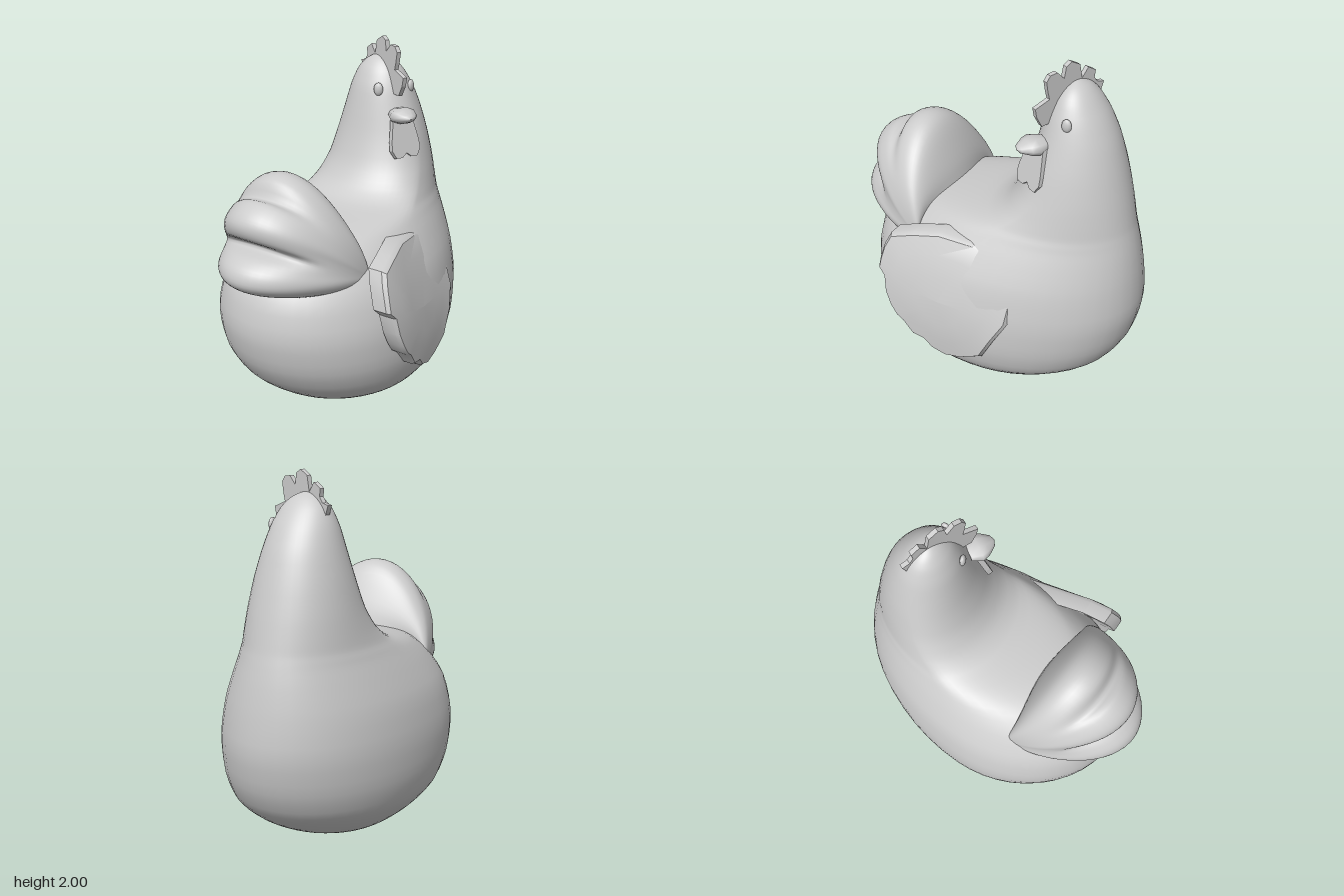
import * as THREE from 'three';
import { toCreasedNormals } from 'three/addons/utils/BufferGeometryUtils.js';

const material = new THREE.MeshStandardMaterial({ color: 0xcccccc });
const V = (x, y, z) => new THREE.Vector3(x, y, z);

function add(parent, name, geometry) {
  const mesh = new THREE.Mesh(geometry, material);
  mesh.name = name;
  parent.add(mesh);
  return mesh;
}

// Skin over closed rings of points, splined from ring to ring
function loft(rings, steps = 1) {
  const n = rings[0].length;
  const rows = (rings.length - 1) * steps;
  const position = [], index = [];
  const columns = rings[0].map((_, j) => new THREE.CatmullRomCurve3(rings.map(r => r[j]), false, 'catmullrom', 0.4));
  for (let i = 0; i <= rows; i++) {
    for (let j = 0; j < n; j++) {
      const p = steps === 1 ? rings[i][j] : columns[j].getPoint(i / rows);
      position.push(p.x, p.y, p.z);
      if (i === rows) continue;
      const a = i * n + j, b = i * n + (j + 1) % n;
      index.push(a, a + n, b, b, a + n, b + n);
    }
  }
  const g = new THREE.BufferGeometry();
  g.setAttribute('position', new THREE.Float32BufferAttribute(position, 3));
  g.setIndex(index);
  g.computeVertexNormals();
  return g;
}

// Flat plate from an outline, centred on its thickness
function plate(points, thickness) {
  const shape = new THREE.Shape(points.map(([x, y]) => new THREE.Vector2(x, y)));
  return new THREE.ExtrudeGeometry(shape, { depth: thickness, bevelEnabled: false })
    .translate(0, 0, -thickness / 2);
}

// Body and neck: height, rear z, widest z, breast z, half width
function bodyGeometry() {
  const rows = [
    [0, -0.2, -0.2, -0.2, 0.001], [0.005, 0.02, -0.15, -0.33, 0.17], [0.04, 0.25, -0.1, -0.43, 0.31],
    [0.08, 0.4, -0.05, -0.52, 0.39], [0.15, 0.52, 0, -0.64, 0.475], [0.25, 0.64, 0.03, -0.76, 0.55],
    [0.4, 0.735, 0.06, -0.84, 0.59], [0.6, 0.78, 0.07, -0.88, 0.593], [0.8, 0.74, 0.03, -0.865, 0.55],
    [0.95, 0.62, -0.06, -0.84, 0.475], [1.04, 0.45, -0.14, -0.82, 0.42], [1.08, 0.25, -0.19, -0.81, 0.395],
    [1.12, 0.01, -0.24, -0.8, 0.37], [1.19, -0.1, -0.32, -0.785, 0.34], [1.3, -0.17, -0.39, -0.76, 0.305],
    [1.45, -0.22, -0.425, -0.72, 0.265], [1.6, -0.255, -0.44, -0.67, 0.22], [1.72, -0.285, -0.44, -0.61, 0.18],
    [1.81, -0.325, -0.435, -0.545, 0.135], [1.86, -0.365, -0.43, -0.495, 0.085],
    [1.885, -0.4, -0.425, -0.45, 0.035], [1.89, -0.425, -0.425, -0.425, 0.001],
  ];
  const rings = rows.map(([y, rear, middle, breast, w]) => {
    const ring = [];
    for (let j = 0; j < 48; j++) {
      const a = j / 48 * Math.PI * 2, s = Math.sin(a);
      const reach = s > 0 ? rear - middle : middle - breast;
      ring.push(V(-0.028 - 0.018 * y + w * Math.cos(a), y, middle + reach * s));
    }
    return ring;
  });
  return loft(rings, 3);
}

// Tail: three-lobed side outline, shrinking and losing its grooves toward both sides
function tailGeometry() {
  const outline = [
    [0.27, 1.08], [0.33, 1.25], [0.41, 1.39], [0.5, 1.43], [0.59, 1.4], [0.635, 1.32],
    [0.7, 1.325], [0.775, 1.28], [0.81, 1.22], [0.79, 1.15], [0.705, 1.085], [0.8, 1.05],
    [0.865, 1.0], [0.88, 0.93], [0.83, 0.875], [0.73, 0.83], [0.5, 0.72], [0.25, 0.85],
  ].map(([z, y]) => V(0, y, z));
  const lobed = new THREE.CatmullRomCurve3(outline, true, 'catmullrom', 0.5).getPoints(72).slice(0, -1);
  const smooth = lobed.map((_, i) => {
    const mean = V(0, 0, 0);
    for (let k = -7; k <= 7; k++) mean.add(lobed[(i + k + 72) % 72]);
    return mean.divideScalar(15);
  });
  const rings = [];
  for (let i = 0; i <= 32; i++) {
    const a = i / 32 * Math.PI, s = Math.max(Math.sin(a), 0.001);
    const x = 0.41 * Math.cos(a), fade = Math.min(1, (x / 0.33) ** 2);
    rings.push(lobed.map((p, j) => {
      const q = p.clone().lerp(smooth[j], fade);
      return V(-0.035 + x, 0.88 + (q.y - 0.88) * s, 0.3 + (q.z - 0.3) * s);
    }));
  }
  return loft(rings);
}

// Wing: scalloped plate that leaves the flank toward the rear
function wingGeometry() {
  const outline = [
    [0.41, 0.9], [0.38, 0.97], [0.25, 1.01], [0.1, 1.03], [-0.1, 1.01], [-0.22, 0.97],
    [-0.3, 0.87], [-0.37, 0.77], [-0.36, 0.63], [-0.29, 0.5], [-0.22, 0.36], [-0.1, 0.3],
    [0, 0.28], [0.08, 0.31], [0.13, 0.365], [0.2, 0.38], [0.26, 0.46], [0.3, 0.49],
    [0.34, 0.55], [0.375, 0.63], [0.39, 0.73], [0.43, 0.77], [0.425, 0.82],
  ];
  const outer = (z, y) => 0.625 - 0.45 * Math.max(y - 0.5, 0) ** 2 - 0.5 * Math.max(0.42 - y, 0) ** 2
    - Math.max(0.3 - z, 0) * (0.14 + 0.25 * Math.max(y - 0.5, 0));
  const ring = (scale, inset) => outline.map(([z, y]) => {
    const pz = 0.05 + (z - 0.05) * scale, py = 0.66 + (y - 0.66) * scale;
    return V(outer(pz, py) - inset, py, pz);
  });
  return toCreasedNormals(loft([
    ring(0.001, 0.1), ring(0.5, 0.1), ring(1, 0.1), ring(1, 0.02), ring(0.96, 0),
    ring(0.7, 0), ring(0.4, 0), ring(0.001, 0),
  ]), 0.6);
}

export function createModel() {
  const hen = new THREE.Group();
  hen.name = 'hen';
  add(hen, 'body', bodyGeometry());
  add(hen, 'tail', tailGeometry());
  add(hen, 'wing', wingGeometry());

  // Head parts, turned to the hen's side
  const face = new THREE.Group();
  face.name = 'face';
  face.position.set(-0.02, 0, -0.4);
  face.rotation.y = -0.4;
  hen.add(face);

  add(face, 'comb', plate([
    [-0.2, 1.77], [-0.22, 1.83], [-0.18, 1.84], [-0.16, 1.87], [-0.165, 1.91], [-0.12, 1.94],
    [-0.085, 1.89], [-0.07, 1.97], [-0.02, 2.0], [0.01, 1.98], [0.02, 1.92], [0.06, 1.965],
    [0.1, 1.96], [0.12, 1.93], [0.11, 1.87], [0.1, 1.83], [0.18, 1.8], [0.17, 1.75],
    [0.14, 1.69], [0, 1.7],
  ].map(([x, y]) => [(x + 0.02) / 0.92, y]), 0.026));

  // Blunt beak
  const beakProfile = [[0.06, 0], [0.085, 0.06], [0.07, 0.1], [0.035, 0.145], [0, 0.16]]
    .map(([r, y]) => new THREE.Vector2(r, y));
  const beak = add(face, 'beak', new THREE.LatheGeometry(beakProfile, 10)
    .rotateZ(-Math.PI / 2).scale(1, 0.55, 1));
  beak.position.set(0.15, 1.587, 0);
  beak.rotation.y = -0.1;

  // Two-lobed wattle, leaning outward at the bottom
  const wattle = add(face, 'wattle', plate([
    [-0.06, 0.03], [-0.09, -0.12], [-0.095, -0.17], [-0.07, -0.215], [-0.03, -0.215], [0, -0.19],
    [0.03, -0.215], [0.07, -0.215], [0.095, -0.17], [0.09, -0.12], [0.06, 0.03],
  ], 0.03).rotateY(Math.PI / 2));
  wattle.position.set(0.19, 1.56, 0);
  wattle.rotation.z = 0.25;

  // Eyes, one on each side of the beak
  for (const [x, z, turn] of [[0.12, -0.47, 0.1], [0.02, -0.29, -1.2]]) {
    const eye = add(hen, 'eye', new THREE.SphereGeometry(0.034, 12, 8).scale(0.5, 1.1, 0.8));
    eye.position.set(x, 1.72, z);
    eye.rotation.y = turn;
  }
  return hen;
}
